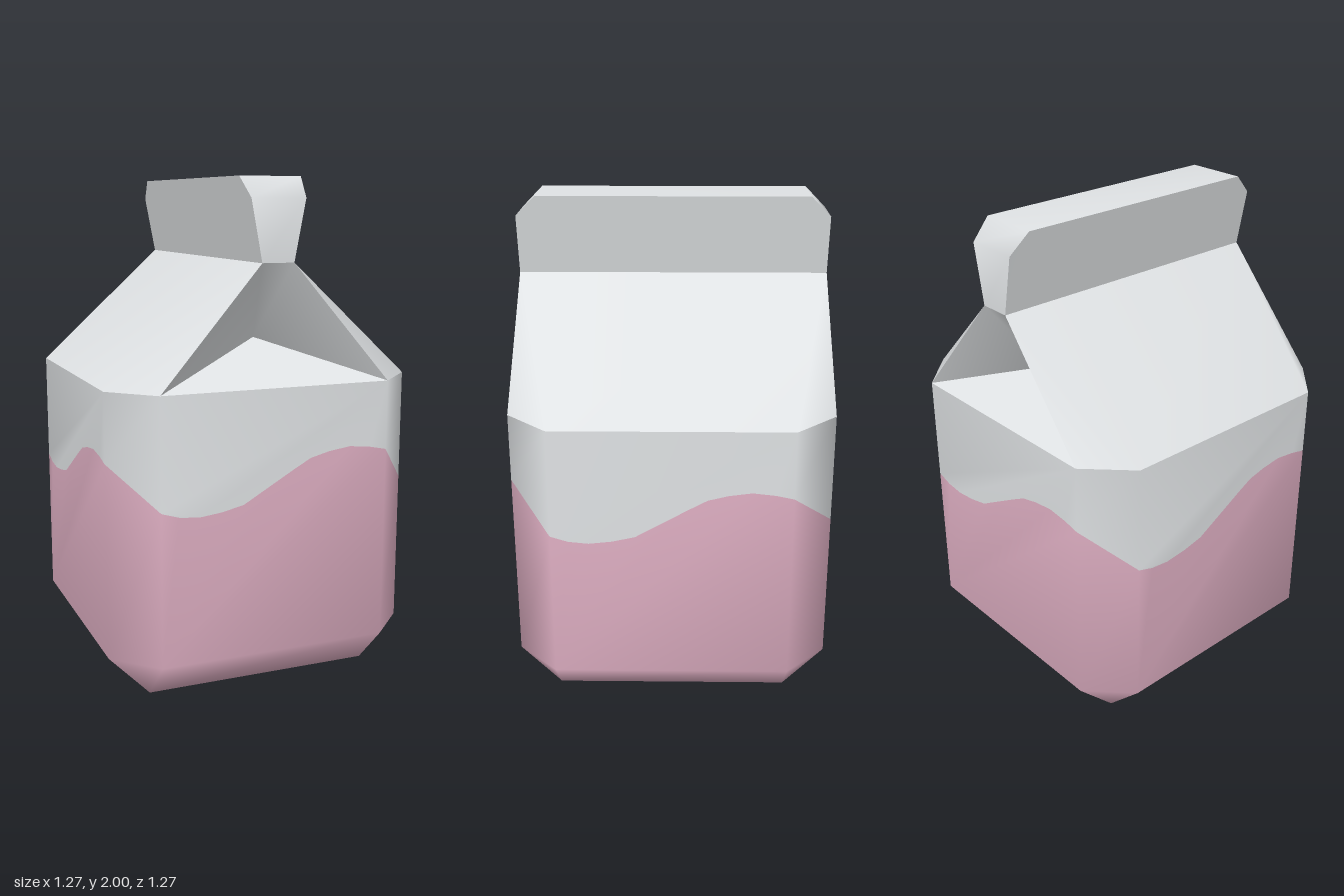
import * as THREE from 'three';

const W = 0.635, C = 0.47;              // half width, half width inside the chamfers
const BEVEL = 0.17, EAVE = 1.22, RIDGE = 1.685;

// Smooth mesh from convex polygons; layers = one list of polygons per material.
function polyMesh(name, layers, materials) {
  const pos = [], index = [], ids = new Map();
  const id = (p) => {
    const key = p.map((v) => Math.round(v * 1e4)).join();
    if (!ids.has(key)) { ids.set(key, pos.length / 3); pos.push(...p); }
    return ids.get(key);
  };
  const geo = new THREE.BufferGeometry();
  layers.forEach((faces, m) => {
    const start = index.length;
    for (const f of faces)
      for (let i = 1; i < f.length - 1; i++) index.push(id(f[0]), id(f[i]), id(f[i + 1]));
    geo.addGroup(start, index.length - start, m);
  });
  geo.setAttribute('position', new THREE.Float32BufferAttribute(pos, 3));
  geo.setIndex(index);
  geo.computeVertexNormals();
  const mesh = new THREE.Mesh(geo, materials);
  mesh.name = name;
  return mesh;
}

// Quarter turns about the vertical axis
function turn([x, y, z], k) {
  for (let i = 0; i < k; i++) [x, z] = [z, -x];
  return [x, y, z];
}

// Splits an upright outline on the front wall into triangles
function wall(outline) {
  const pts = outline.map(([x, y]) => new THREE.Vector2(x, y));
  return THREE.ShapeUtils.triangulateShape(pts, [])
    .map((t) => t.map((i) => [pts[i].x, pts[i].y, W]));
}

export function createModel() {
  const paper = new THREE.MeshStandardMaterial({ color: 0xdfe2e4 });
  const pink = new THREE.MeshStandardMaterial({ color: 0xe0b0c4 });
  paper.name = 'paperWhite';
  pink.name = 'softPink';
  for (const m of [paper, pink]) m.side = THREE.DoubleSide;
  const model = new THREE.Group();
  model.name = 'carton';

  // Body: chamfered box with a wavy colour border, the same on all four sides
  const wave = [[-C, 0.78], [-0.4, 0.758], [-0.32, 0.75], [-0.23, 0.76], [-0.14, 0.78], [-0.07, 0.82],
    [0, 0.86], [0.07, 0.9], [0.14, 0.938], [0.22, 0.958], [0.31, 0.97], [0.4, 0.96], [C, 0.945]];
  const lowY = wave[0][1], highY = wave[wave.length - 1][1];
  const lower = [
    ...wall([[-C, BEVEL], [C, BEVEL], ...[...wave].reverse()]),
    [[C, BEVEL, W], [W, BEVEL, C], [W, lowY, C], [C, highY, W]],
    [[-C, 0, C], [C, 0, C], [C, BEVEL, W], [-C, BEVEL, W]],
    [[C, 0, C], [W, BEVEL, C], [C, BEVEL, W]],
  ];
  const upper = [
    ...wall([...wave, [C, EAVE], [-C, EAVE]]),
    [[C, highY, W], [W, lowY, C], [W, EAVE, C], [C, EAVE, W]],
  ];
  const around = (faces) => [0, 1, 2, 3].flatMap((k) => faces.map((f) => f.map((p) => turn(p, k))));
  const base = [[-C, 0, -C], [C, 0, -C], [C, 0, C], [-C, 0, C]];
  model.add(polyMesh('body', [[...around(lower), base], around(upper)], [pink, paper]));

  // Roof and top seal, mirrored by half turns
  const R = 0.065, RZ = 0.62, T = 0.125, M = 0.11, MY = 1.92, TZ = 0.54;
  const apex = [0, 1.385, 0.39];
  const endStrips = [];
  for (const k of [0, 2]) {
    const side = k ? 'back' : 'front', flank = k ? 'right' : 'left';
    const add = (name, faces) =>
      model.add(polyMesh(name, [faces.map((f) => f.map((p) => turn(p, k)))], [paper]));

    // Sloping panel with its corner triangles
    add(flank + 'RoofPanel', [
      [[W, EAVE, C], [W, EAVE, -C], [R, RIDGE, -RZ], [R, RIDGE, RZ]],
      [[C, EAVE, W], [W, EAVE, C], [R, RIDGE, RZ]],
      [[W, EAVE, -C], [C, EAVE, -W], [R, RIDGE, -RZ]],
    ]);
    // Folded-in gable
    add(side + 'GableFlap', [[[-C, EAVE, W], [C, EAVE, W], apex]]);
    add(side + 'GableFold', [
      [[-C, EAVE, W], apex, [-R, RIDGE, RZ]],
      [apex, [R, RIDGE, RZ], [-R, RIDGE, RZ]],
      [apex, [C, EAVE, W], [R, RIDGE, RZ]],
    ]);
    // Flat face of the seal
    add(flank + 'SealFace', [[
      [R, RIDGE, RZ], [R, RIDGE, -RZ], [M, MY, -RZ], [T, 2, -TZ], [T, 2, TZ], [M, MY, RZ],
    ]]);
    endStrips.push(...[
      [[-R, RIDGE, RZ], [R, RIDGE, RZ], [M, MY, RZ], [-M, MY, RZ]],
      [[-M, MY, RZ], [M, MY, RZ], [T, 2, TZ], [-T, 2, TZ]],
    ].map((f) => f.map((p) => turn(p, k))));
  }
  // Rim running over the ends and top of the seal
  endStrips.push([[-T, 2, TZ], [T, 2, TZ], [T, 2, -TZ], [-T, 2, -TZ]]);
  model.add(polyMesh('sealRim', [endStrips], [paper]));

  return model;
}
